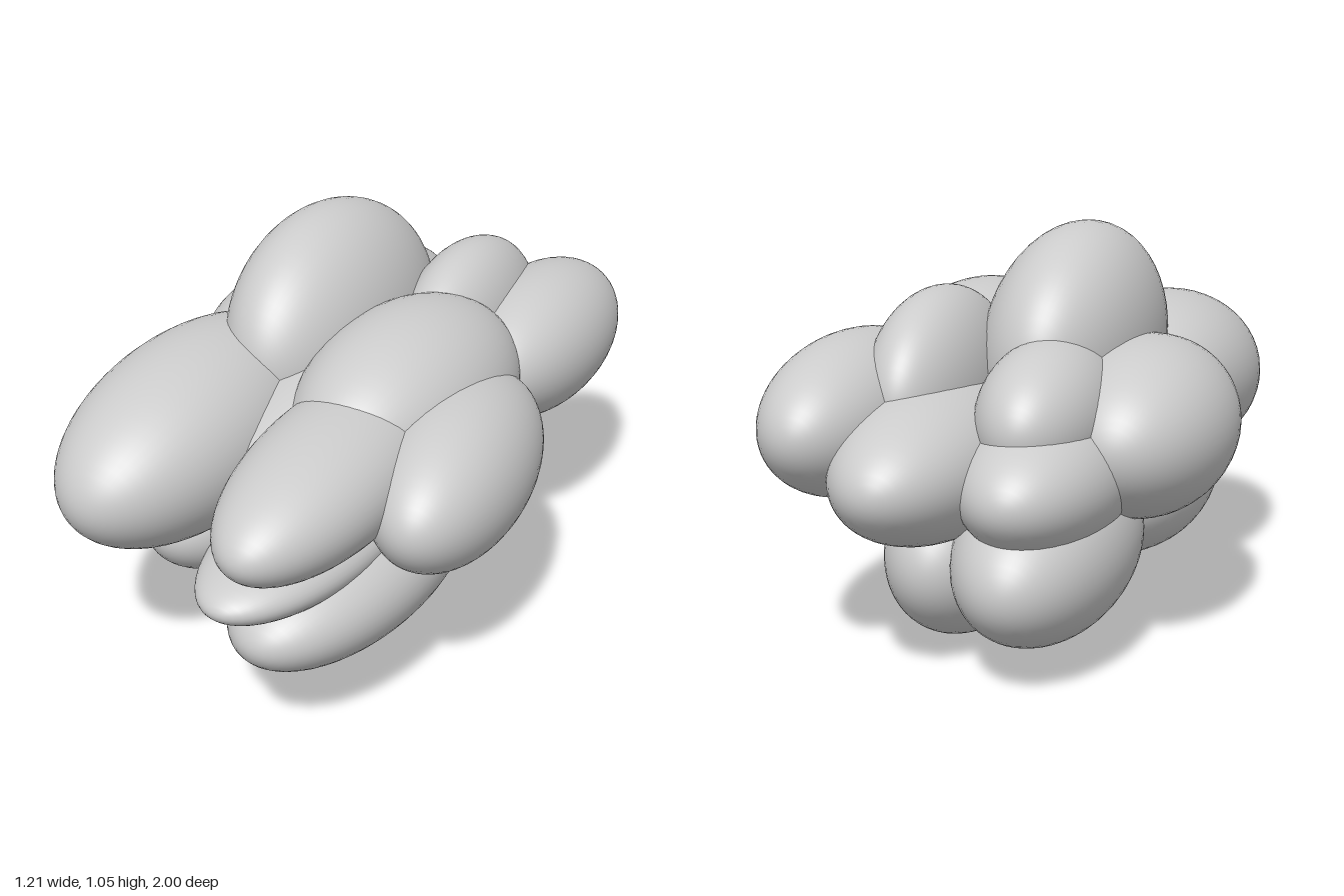
import * as THREE from 'three';

// name, centre, radii, rotation (x, y, z)
const LOBES = [
  ['core', [0, 0.47, 0], [0.33, 0.3, 0.66]],
  // upper lobes
  ['crownLobe', [-0.15, 0.72, -0.08], [0.23, 0.335, 0.45], [0, 0, 0.12]],
  ['upperMiddleLobe', [0.17, 0.62, 0.1], [0.26, 0.25, 0.46], [0, 0, -0.15]],
  ['upperBackRidge', [0.13, 0.65, -0.37], [0.16, 0.255, 0.36]],
  ['upperBackKnob', [-0.19, 0.61, -0.47], [0.17, 0.19, 0.32]],
  // front lobes
  ['frontRightLobe', [-0.3, 0.57, 0.41], [0.27, 0.245, 0.51], [0.06, 0.02, 0.1]],
  ['frontLeftLobe', [0.17, 0.59, 0.5], [0.205, 0.165, 0.49], [0.06, 0.02, 0]],
  ['frontLip', [0.13, 0.43, 0.53], [0.2, 0.1, 0.465]],
  ['frontLowerLobe', [0.18, 0.3, 0.42], [0.235, 0.17, 0.5], [0, 0, 0.1]],
  // side lobes
  ['leftSideLobe', [0.38, 0.53, 0.24], [0.2, 0.21, 0.43], [0, 0.14, 0]],
  ['rightSideLobe', [-0.38, 0.55, -0.25], [0.24, 0.23, 0.4]],
  // back lobes
  ['backLeftLobe', [0.3, 0.6, -0.51], [0.2, 0.205, 0.42]],
  ['backMiddleLobe', [0.08, 0.5, -0.5], [0.23, 0.2, 0.5]],
  ['backRightLobe', [-0.2, 0.47, -0.5], [0.21, 0.18, 0.41]],
  // underside lobes
  ['backLowerLobe', [-0.19, 0.28, -0.47], [0.22, 0.22, 0.43], [-0.06, 0, 0]],
  ['bottomLobe', [0.06, 0.24, -0.33], [0.2, 0.24, 0.4]],
  ['lowerRightLobe', [-0.27, 0.32, 0.15], [0.22, 0.2, 0.48]],
  ['lowerMiddleLobe', [-0.13, 0.24, 0.19], [0.2, 0.19, 0.41]],
];

export function createModel() {
  const group = new THREE.Group();
  group.name = 'lobedCluster';
  const material = new THREE.MeshStandardMaterial({ color: 0xcccccc });
  // poles of the sphere lie along z, the long axis of every lobe
  const sphere = new THREE.SphereGeometry(1, 48, 32).rotateX(Math.PI / 2);
  for (const [name, centre, radii, turn = [0, 0, 0]] of LOBES) {
    const lobe = new THREE.Mesh(sphere, material);
    lobe.name = name;
    lobe.position.set(...centre);
    lobe.scale.set(...radii);
    lobe.rotation.set(...turn);
    group.add(lobe);
  }
  return group;
}
